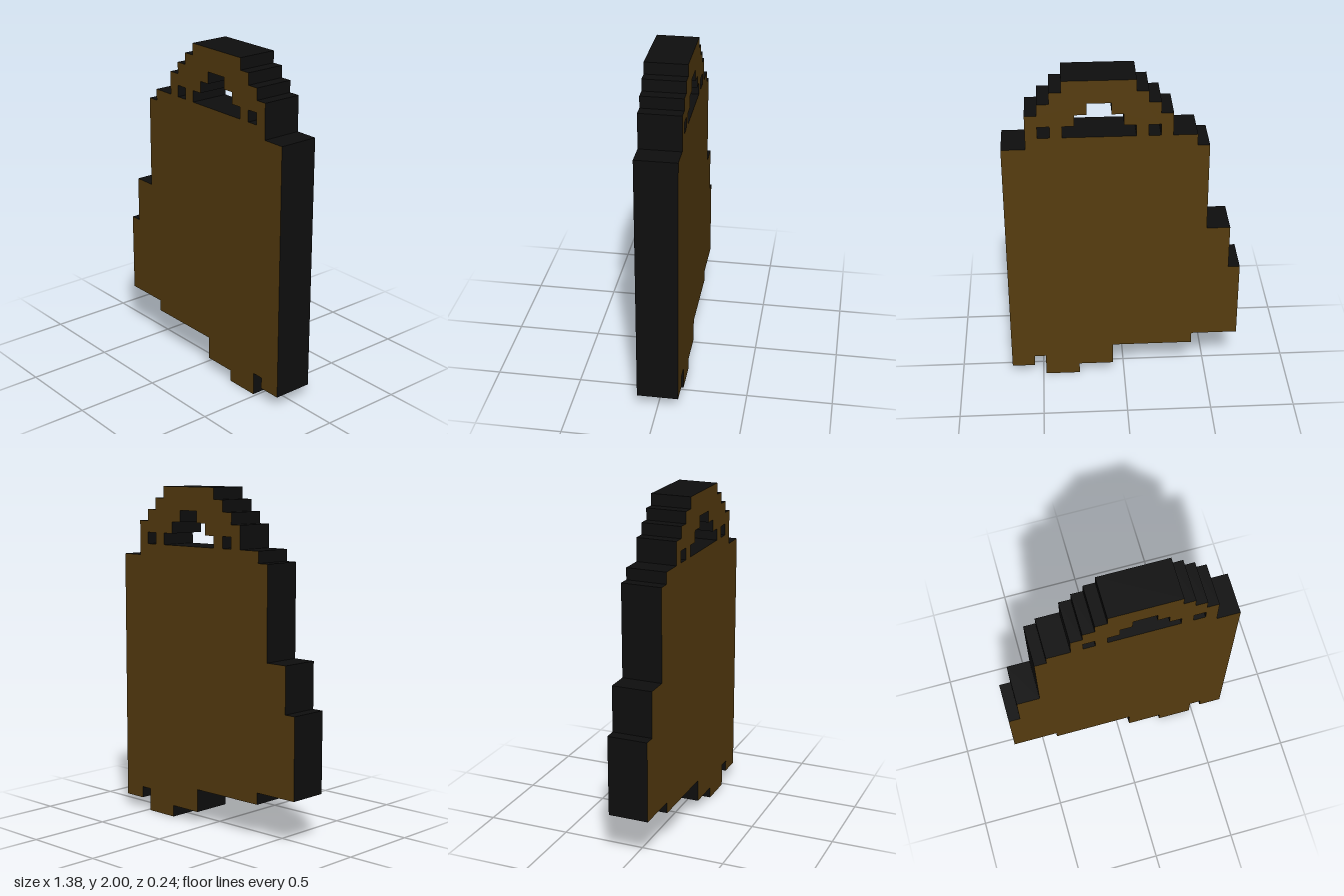
import * as THREE from 'three';

const CELL = 2 / 29; // the silhouette lies on a grid 20 cells wide, 29 high
const DEPTH = 3.5 * CELL;

const faceBrown = new THREE.MeshStandardMaterial({ color: 0x563c0f });
faceBrown.name = 'faceBrown';
const edgeBlack = new THREE.MeshStandardMaterial({ color: 0x0e0e0e });
edgeBlack.name = 'edgeBlack';

// Extrude a stepped outline given in grid cells: brown faces, black edges
function slab(name, cells) {
  const points = cells.map(([i, j]) => new THREE.Vector2((i - 10) * CELL, j * CELL));
  const geometry = new THREE.ExtrudeGeometry(new THREE.Shape(points), {
    depth: DEPTH, bevelEnabled: false, steps: 1,
  });
  geometry.translate(0, 0, -DEPTH / 2);
  const mesh = new THREE.Mesh(geometry, [faceBrown, edgeBlack]);
  mesh.name = name;
  return mesh;
}

export function createModel() {
  const model = new THREE.Group();
  model.name = 'pixelBag';

  // Body with stepped left side and ragged bottom
  model.add(slab('body', [
    [0, 4], [4, 4], [4, 3], [11, 3], [11, 1], [14, 1], [14, 0], [17, 0],
    [17, 2], [18, 2], [18, 1], [20, 1], [20, 23], [18, 23], [18, 24],
    [4, 24], [4, 23], [3, 23], [3, 15], [1, 15], [1, 11], [0, 11],
  ]));

  // Stepped arch handle on four short legs, symmetric about x = 12 cells
  const half = [
    [13, 27], [13, 26], [14, 26], [14, 25], [15, 25], [15, 24], [16, 24],
    [16, 25], [17, 25], [17, 24], [18, 24], [18, 26], [17, 26], [17, 27],
    [16, 27], [16, 28], [15, 28], [15, 29],
  ];
  const mirrored = half.map(([i, j]) => [24 - i, j]).reverse();
  model.add(slab('handle', [...half, ...mirrored]));

  return model;
}
